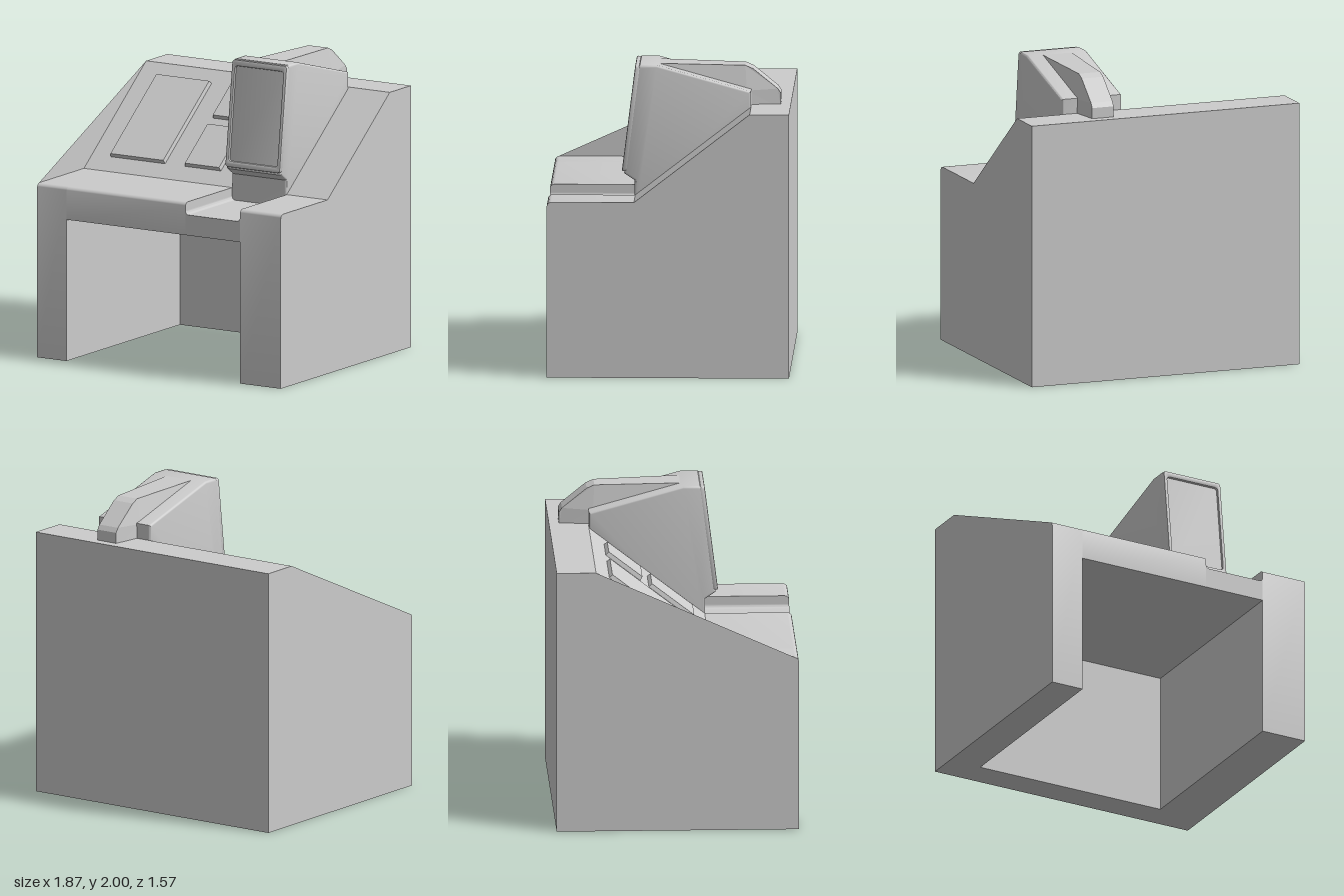
import * as THREE from 'three';
import { toCreasedNormals } from 'three/addons/utils/BufferGeometryUtils.js';

const material = new THREE.MeshStandardMaterial({ color: 0xcccccc });
const thin = new THREE.MeshStandardMaterial({ color: 0xcccccc, side: THREE.DoubleSide });

// Key outline values of the console
const HALF = 0.935, DEEP = 0.785, DESK = 1.15, TOP = 1.73;
const FOOT = [0.22, DESK], CREST = [-0.53, TOP]; // ends of the sloping panel, [z, y]
const MID = 0.412;                               // monitor centre in x

function add(parent, name, geometry, mat = material) {
  const mesh = new THREE.Mesh(geometry, mat);
  mesh.name = name;
  parent.add(mesh);
  return mesh;
}

const toShape = (points) => new THREE.Shape(points.map(([a, b]) => new THREE.Vector2(a, b)));

// Extrude a [z, y] profile from x0 to x1, with an optional rounded edge
function slab(points, x0, x1, bevel = 0) {
  const geometry = new THREE.ExtrudeGeometry(toShape(points), {
    depth: x1 - x0 - 2 * bevel, bevelEnabled: bevel > 0,
    bevelSize: bevel, bevelThickness: bevel, bevelOffset: -bevel, bevelSegments: 3,
  });
  return toCreasedNormals(geometry.rotateY(-Math.PI / 2).translate(x1 - bevel, 0, 0), 0.6);
}

// Side profile of the console, optionally with knee space and front recess
function consoleProfile(knee, recess) {
  const points = knee
    ? [[-DEEP, 0], [-0.585, 0], [-0.585, 0.935], [DEEP, 0.935]]
    : [[-DEEP, 0], [DEEP, 0]];
  if (recess) {
    points.push([DEEP, 1.07], [0.22, 1.07]);
  } else {
    for (let i = 0; i <= 5; i++) {
      const a = (i / 5) * Math.PI / 2;
      points.push([DEEP - 0.03 + 0.03 * Math.cos(a), DESK - 0.03 + 0.03 * Math.sin(a)]);
    }
  }
  points.push(FOOT, CREST, [-DEEP, TOP]);
  return points;
}

// Raised plate with tapered sides
function plate(width, length, height) {
  const geometry = new THREE.BoxGeometry(width, height * 2, length);
  const p = geometry.attributes.position;
  for (let i = 0; i < p.count; i++) {
    if (p.getY(i) > 0) {
      p.setX(i, p.getX(i) - Math.sign(p.getX(i)) * 0.012);
      p.setZ(i, p.getZ(i) - Math.sign(p.getZ(i)) * 0.008);
    }
  }
  geometry.computeVertexNormals();
  return geometry;
}

function roundedRect(path, w, h, r) {
  path.moveTo(-w / 2 + r, -h / 2);
  path.absarc(w / 2 - r, -h / 2 + r, r, -Math.PI / 2, 0);
  path.absarc(w / 2 - r, h / 2 - r, r, 0, Math.PI / 2);
  path.absarc(-w / 2 + r, h / 2 - r, r, Math.PI / 2, Math.PI);
  path.absarc(-w / 2 + r, -h / 2 + r, r, Math.PI, Math.PI * 1.5);
  path.closePath();
  return path;
}

function buildConsole() {
  const group = new THREE.Group();
  group.name = 'console';
  add(group, 'rightLeg', slab(consoleProfile(false, false), -HALF, -0.71));
  add(group, 'deskCentre', slab(consoleProfile(true, false), -0.71, 0.203));
  add(group, 'recessedDesk', slab(consoleProfile(true, true), 0.203, 0.622));
  add(group, 'leftLeg', slab(consoleProfile(false, false), 0.622, HALF));

  // Thin side screen closing the angle between desk and slope
  const cheek = new THREE.ShapeGeometry(toShape([[0.76, DESK], FOOT, CREST]));
  add(group, 'sideCheek', cheek.rotateY(-Math.PI / 2).translate(-HALF, 0, 0), thin);

  // Concave fillets along both bottom edges of the recess
  const fillet = new THREE.Shape();
  fillet.moveTo(0, 0);
  fillet.lineTo(0.025, 0);
  fillet.absarc(0.025, 0.025, 0.025, -Math.PI / 2, -Math.PI, true);
  const strip = new THREE.ExtrudeGeometry(fillet, { depth: DEEP - 0.22, bevelEnabled: false, curveSegments: 5 });
  const smoothStrip = toCreasedNormals(strip, 0.6);
  add(group, 'recessFillet', smoothStrip).position.set(0.203, 1.07, 0.22);
  const other = add(group, 'recessFillet', smoothStrip);
  other.position.set(0.622, 1.07, DEEP);
  other.rotation.y = Math.PI;
  return group;
}

function buildPanels() {
  // Local frame lying on the slope: -z runs uphill from its foot
  const group = new THREE.Group();
  group.name = 'controlPanels';
  group.position.set(0, FOOT[1], FOOT[0]);
  group.rotation.x = Math.atan2(CREST[1] - FOOT[1], FOOT[0] - CREST[0]);
  const panels = [
    ['largePanel', -0.797, -0.368, 0.12, 0.836],
    ['upperPanel', -0.226, 0.06, 0.545, 0.836],
    ['lowerPanel', -0.226, 0.06, 0.12, 0.483],
  ];
  for (const [name, x0, x1, s0, s1] of panels) {
    add(group, name, plate(x1 - x0, s1 - s0, 0.028))
      .position.set((x0 + x1) / 2, 0, -(s0 + s1) / 2);
  }
  return group;
}

function buildMonitor() {
  const group = new THREE.Group();
  group.name = 'monitor';

  // Wedge housing with its neck
  const housing = [[0.224, 1.03], [0.224, 1.245], [0.292, 1.29], [0.205, 1.985], [0.19, 2.0],
    [0.08, 2.0], [-0.53, 1.83], [-0.53, 1.64]];
  add(group, 'housing', slab(housing, MID - 0.21, MID + 0.21, 0.015));

  // Bezel around the sunken, slightly tilted screen
  const frame = roundedRect(new THREE.Shape(), 0.42, 0.7, 0.02);
  frame.holes.push(roundedRect(new THREE.Path(), 0.37, 0.62, 0.02));
  const bezel = new THREE.ExtrudeGeometry(frame, {
    depth: 0.02, bevelEnabled: true, bevelSize: 0.008, bevelThickness: 0.008,
    bevelOffset: -0.008, bevelSegments: 2, curveSegments: 4,
  });
  const mount = add(group, 'bezel', toCreasedNormals(bezel, 0.6));
  mount.position.set(MID, 1.648, 0.236);
  mount.rotation.x = -0.125;

  // Spine running over the back, narrowing to its tail
  const spine = [[0.07, 1.996], [-0.49, 1.982], [-0.54, 1.96], [-0.7, 1.83], [-0.72, 1.8],
    [-0.72, 1.7], [-0.53, 1.7], [-0.5, 1.82]];
  const geometry = slab(spine, -1, 1);
  const p = geometry.attributes.position;
  for (let i = 0; i < p.count; i++) {
    const z = p.getZ(i), atBase = z > -0.6 && p.getY(i) < 1.83;
    const half = atBase ? 0.105 : 0.1 - 0.025 * Math.min(1, (0.07 - z) / 0.56);
    p.setX(i, MID + Math.sign(p.getX(i)) * half);
  }
  geometry.computeVertexNormals();
  add(group, 'spine', geometry);
  return group;
}

export function createModel() {
  const model = new THREE.Group();
  model.name = 'controlDesk';
  model.add(buildConsole(), buildPanels(), buildMonitor());
  return model;
}
